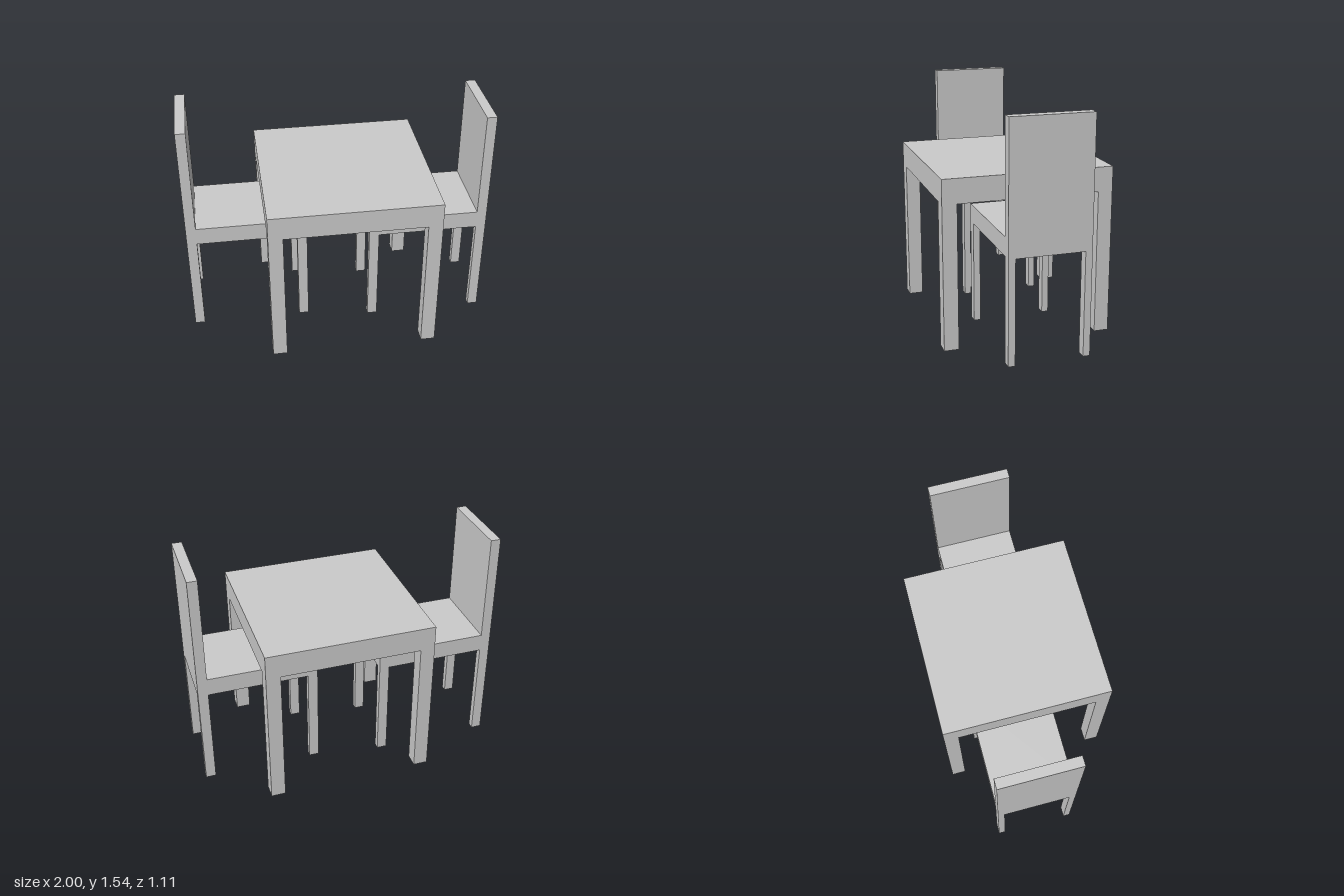
import * as THREE from 'three';

const material = new THREE.MeshStandardMaterial({ color: 0xcccccc, flatShading: true });

// Box given by its extents along each axis
function block(name, [x0, x1], [y0, y1], [z0, z1]) {
  const mesh = new THREE.Mesh(new THREE.BoxGeometry(x1 - x0, y1 - y0, z1 - z0), material);
  mesh.name = name;
  mesh.position.set((x0 + x1) / 2, (y0 + y1) / 2, (z0 + z1) / 2);
  return mesh;
}

// Four legs set flush with the corners of a w by d rectangle
function addLegs(group, name, w, d, legW, legD, y0, y1) {
  for (const sx of [-1, 1]) {
    for (const sz of [-1, 1]) {
      const leg = new THREE.Mesh(new THREE.BoxGeometry(legW, y1 - y0, legD), material);
      leg.name = name;
      leg.position.set(sx * (w - legW) / 2, (y0 + y1) / 2, sz * (d - legD) / 2);
      group.add(leg);
    }
  }
}

function createTable() {
  const table = new THREE.Group();
  table.name = 'table';
  const size = 1.11, h = size / 2;
  table.add(block('tableTop', [-h, h], [0.95, 1.11], [-h, h]));
  addLegs(table, 'tableLeg', size, size, 0.095, 0.095, 0, 0.95);
  return table;
}

// Chair with its backrest on the +x side
function createChair(name) {
  const chair = new THREE.Group();
  chair.name = name;
  const w = 0.795, d = 0.525, backW = 0.066;
  const sides = [-d / 2, d / 2];
  chair.add(block('seat', [-w / 2, w / 2 - backW], [0.703, 0.822], sides));
  chair.add(block('backrest', [w / 2 - backW, w / 2], [0.703, 1.537], sides));
  addLegs(chair, 'chairLeg', w, d, backW, 0.044, 0.026, 0.703);
  return chair;
}

export function createModel() {
  const model = new THREE.Group();
  model.name = 'tableAndChairs';

  const table = createTable();
  table.position.x = 0.066;

  const leftChair = createChair('leftChair');
  leftChair.position.set(0.6025, 0, -0.003);

  const rightChair = createChair('rightChair');
  rightChair.rotation.y = Math.PI;
  rightChair.position.set(-0.6025, 0, -0.073);

  model.add(table, leftChair, rightChair);
  return model;
}
